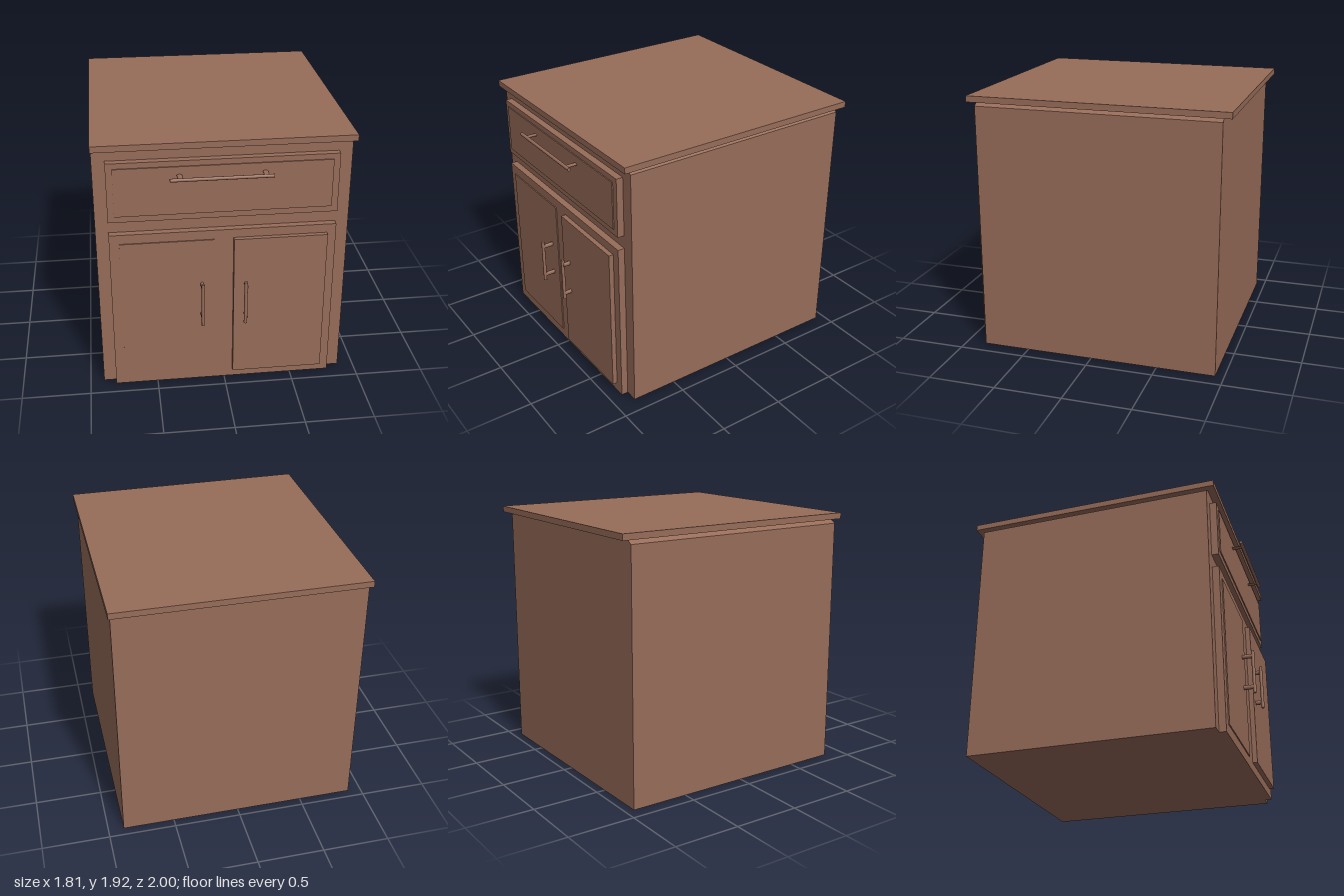
import * as THREE from 'three';

const wood = new THREE.MeshStandardMaterial({ color: 0x976c59 });
wood.name = 'brown wood';

export function createModel() {
  const model = new THREE.Group();
  model.name = 'cabinet';

  const add = (parent, name, geometry) => {
    const mesh = new THREE.Mesh(geometry, wood);
    mesh.name = name;
    parent.add(mesh);
    return mesh;
  };

  // Box given by its limits on each axis
  const slab = (name, x0, x1, y0, y1, z0, z1) =>
    add(model, name, new THREE.BoxGeometry(x1 - x0, y1 - y0, z1 - z0))
      .position.set((x0 + x1) / 2, (y0 + y1) / 2, (z0 + z1) / 2);

  // Carcass with bevelled upper side edges
  const outline = new THREE.Shape([
    [-0.9, 0], [0.885, 0], [0.885, 1.845], [0.835, 1.877], [-0.85, 1.877], [-0.9, 1.845],
  ].map(([x, y]) => new THREE.Vector2(x, y)));
  add(model, 'carcass', new THREE.ExtrudeGeometry(outline, { depth: 1.785, bevelEnabled: false }))
    .position.z = -0.935;

  slab('countertop', -0.905, 0.905, 1.875, 1.92, -1, 0.905);

  // Drawer and doors
  slab('drawerFront', -0.81, 0.79, 1.35, 1.79, 0.84, 0.9);
  slab('drawerPanel', -0.765, 0.745, 1.395, 1.75, 0.89, 0.908);
  slab('doorFrame', -0.81, 0.79, 0, 1.25, 0.84, 0.9);
  slab('rightDoor', -0.74, -0.075, 0.075, 1.18, 0.89, 0.908);
  slab('leftDoor', 0.06, 0.725, 0.07, 1.185, 0.89, 0.935);

  // Bar handle lying along x, with two posts reaching back to the front
  const handle = (name, length, posts, postWidth, postHeight, postShift, backZ) => {
    const group = new THREE.Group();
    group.name = name;
    add(group, 'bar', new THREE.CylinderGeometry(0.0125, 0.0125, length, 16)).rotation.z = Math.PI / 2;
    const depth = 0.9875 - backZ;
    for (const x of posts) {
      const post = add(group, 'post', new THREE.CylinderGeometry(0.5, 0.5, depth, 16));
      post.scale.set(postWidth, 1, postHeight);
      post.rotation.x = Math.PI / 2;
      post.position.set(x, postShift, -depth / 2);
    }
    model.add(group);
    return group;
  };

  handle('drawerHandle', 0.705, [-0.282, 0.303], 0.037, 0.016, 0, 0.9)
    .position.set(-0.0325, 1.6875, 0.9875);

  // Upright door handles
  for (const [name, x, shift, backZ] of [
    ['rightDoorHandle', -0.165, 0, 0.9],
    ['leftDoorHandle', 0.141, -0.006, 0.93],
  ]) {
    const group = handle(name, 0.34, [-0.122, 0.128], 0.034, 0.024, shift, backZ);
    group.rotation.z = Math.PI / 2;
    group.position.set(x, 0.697, 0.9875);
  }
  return model;
}
